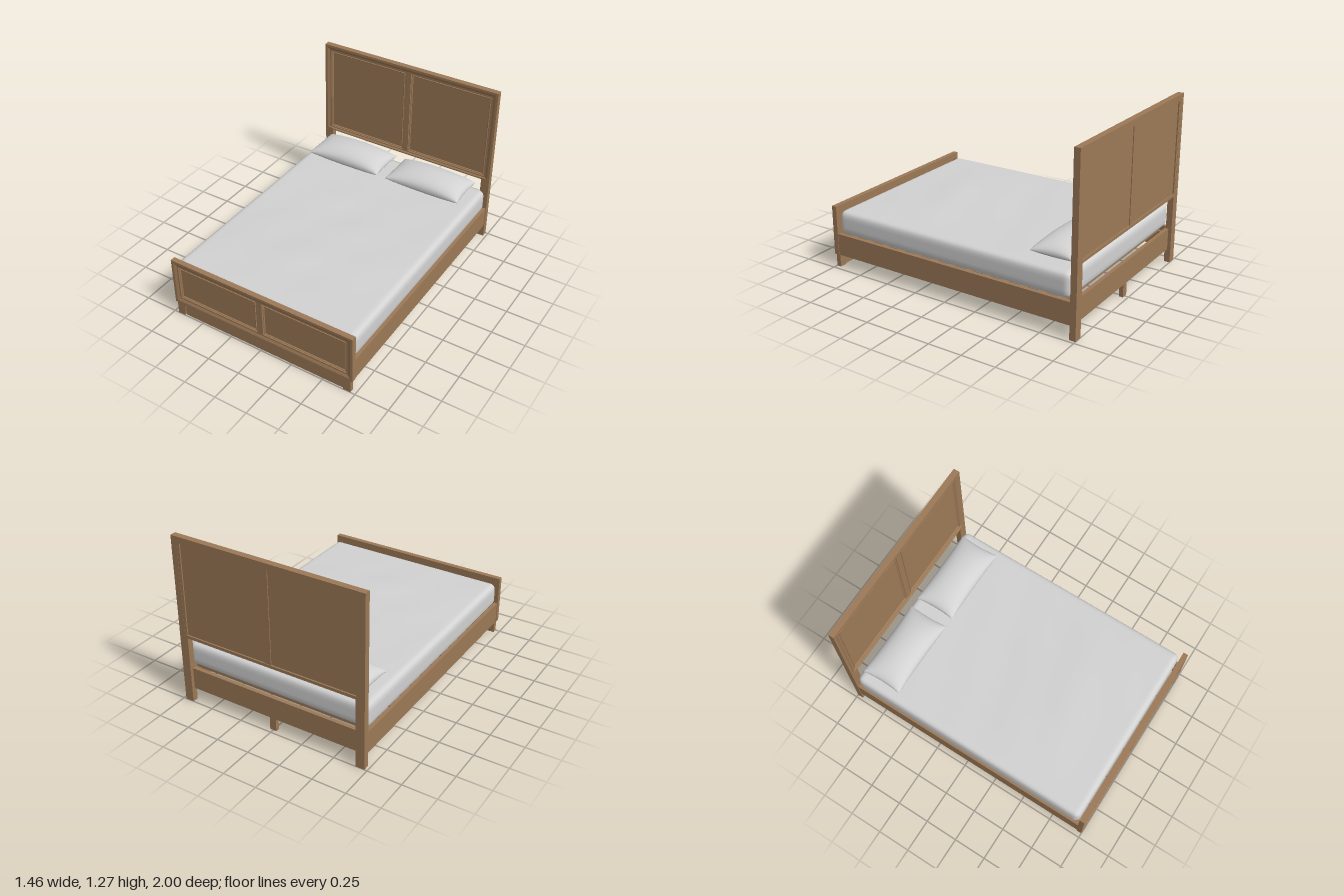
import * as THREE from 'three';
import { mergeVertices } from 'three/addons/utils/BufferGeometryUtils.js';

const wood = new THREE.MeshStandardMaterial({ color: 0x9c7957 });
wood.name = 'wood';
const linen = new THREE.MeshStandardMaterial({ color: 0xd2d2d2 });
linen.name = 'linen';

function add(parent, name, geometry, material = wood) {
  const mesh = new THREE.Mesh(geometry, material);
  mesh.name = name;
  parent.add(mesh);
  return mesh;
}

// Box given by its extents
function block(parent, name, x0, x1, y0, y1, z0, z1) {
  const mesh = add(parent, name, new THREE.BoxGeometry(x1 - x0, y1 - y0, z1 - z0));
  mesh.position.set((x0 + x1) / 2, (y0 + y1) / 2, (z0 + z1) / 2);
  return mesh;
}

// Mitred frame: sweeps a profile of [inset, z] around a rectangle
function mitredFrame(x0, x1, y0, y1, profile, bottomScale = 1) {
  const loops = profile.map(([d, z]) => [
    [x0 + d, y0 + d * bottomScale, z], [x1 - d, y0 + d * bottomScale, z],
    [x1 - d, y1 - d, z], [x0 + d, y1 - d, z],
  ]);
  const points = [];
  for (let k = 0; k < loops.length - 1; k++) {
    for (let i = 0; i < 4; i++) {
      const j = (i + 1) % 4;
      const a = loops[k][i], b = loops[k][j], c = loops[k + 1][j], d = loops[k + 1][i];
      points.push(...a, ...b, ...c, ...a, ...c, ...d);
    }
  }
  const geometry = new THREE.BufferGeometry();
  geometry.setAttribute('position', new THREE.Float32BufferAttribute(points, 3));
  geometry.computeVertexNormals();
  return geometry;
}

// Framed board with two recessed, moulded panels
function panelBoard(name, y0, y1, zBack, zFront, bottomScale) {
  const board = new THREE.Group();
  board.name = name;
  const face = zFront - 0.009, panel = zFront - 0.017, margin = 0.045;
  const bottom = y0 + margin * bottomScale, top = y1 - margin;
  add(board, 'outerFrame', mitredFrame(-0.73, 0.73, y0, y1, [
    [0, zBack], [0, zFront], [0.018, zFront], [0.026, zFront - 0.003],
    [0.038, face], [margin, face], [margin, zBack], [0, zBack],
  ], bottomScale));
  block(board, 'panelSheet', -0.69, 0.69, bottom - 0.003, top + 0.003, zBack + 0.01, panel);
  block(board, 'centreStile', -0.018, 0.018, bottom, top, panel - 0.004, face);
  block(board, 'rearCentreStile', -0.025, 0.025, bottom, top, zBack + 0.004, zBack + 0.012);
  for (const side of [-1, 1]) {
    const a = side > 0 ? 0.018 : -0.685, b = side > 0 ? 0.685 : -0.018;
    add(board, 'panelMoulding', mitredFrame(a, b, bottom, top, [
      [0, face], [0.005, face], [0.008, panel + 0.001], [0.012, panel + 0.001],
      [0.014, face - 0.001], [0.018, face - 0.002], [0.022, panel],
    ]));
  }
  return board;
}

// Mattress: box with rounded edges and a softly rumpled top
function mattressGeometry() {
  const hx = 0.718, hy = 0.09, hz = 0.946, r = 0.045;
  const geometry = new THREE.BoxGeometry(2, 2, 2, 48, 10, 64);
  geometry.deleteAttribute('normal');
  geometry.deleteAttribute('uv');
  const p = geometry.attributes.position, v = new THREE.Vector3(), core = new THREE.Vector3();
  const limit = new THREE.Vector3(hx - r, hy - r, hz - r);
  const spread = (t) => Math.sin(t * Math.PI / 2);
  for (let i = 0; i < p.count; i++) {
    v.fromBufferAttribute(p, i);
    v.set(spread(v.x) * hx, spread(v.y) * hy, spread(v.z) * hz);
    core.copy(v).clamp(limit.clone().negate(), limit);
    v.sub(core);
    if (v.lengthSq() > 0) v.setLength(r);
    v.add(core);
    if (v.y > hy - r) {
      const fade = (1 - (v.x / hx) ** 2) * (1 - (v.z / hz) ** 4) * (v.y - hy + r) / r;
      const swell = 0.012 * Math.exp(-(((v.z - 0.45) / 0.35) ** 2));
      const folds = 0.003 * Math.sin(9 * v.x + 11 * v.z) * Math.sin(4 * v.x - 5 * v.z + 1);
      v.y += Math.max(0, fade) * (swell + folds);
    }
    p.setXYZ(i, v.x, v.y, v.z);
  }
  const merged = mergeVertices(geometry, 1e-5);
  merged.computeVertexNormals();
  return merged;
}

// Pillow: plump middle, thin seam and slightly drawn-out corners
function pillowGeometry() {
  const geometry = new THREE.BoxGeometry(2, 2, 2, 32, 1, 24);
  geometry.deleteAttribute('normal');
  geometry.deleteAttribute('uv');
  const p = geometry.attributes.position;
  for (let i = 0; i < p.count; i++) {
    const u = Math.sin(p.getX(i) * Math.PI / 2), w = Math.sin(p.getZ(i) * Math.PI / 2);
    const plump = Math.pow(Math.max(0, (1 - u * u) * (1 - w * w)), 0.43);
    p.setXYZ(i,
      0.305 * u * (1 - 0.035 * (1 - w * w)),
      plump * (p.getY(i) > 0 ? 0.088 : -0.056),
      0.155 * w * (1 - 0.03 * (1 - u * u)));
  }
  const merged = mergeVertices(geometry, 1e-5);
  merged.computeVertexNormals();
  return merged;
}

export function createModel() {
  const bed = new THREE.Group();
  bed.name = 'bed';

  // Headboard and footboard
  bed.add(panelBoard('headboard', 0.515, 1.27, -1, -0.955, 0.5));
  bed.add(panelBoard('footboard', 0.1, 0.472, 0.962, 1, 1));

  // Legs and side rails, mirrored
  for (const s of [-1, 1]) {
    const mirrored = (name, a, b, ...rest) =>
      block(bed, name, Math.min(s * a, s * b), Math.max(s * a, s * b), ...rest);
    mirrored('headboardLeg', 0.665, 0.73, 0, 0.53, -1, -0.955);
    mirrored('rearStile', 0.665, 0.7, 0.51, 1.24, -0.999, -0.975);
    mirrored('sideRail', 0.7, 0.726, 0.1, 0.262, -0.957, 0.965);
    mirrored('slatLedger', 0.68, 0.702, 0.2, 0.22, -0.94, 0.955);

    const taper = new THREE.Shape([[0.66, 0], [0.715, 0], [0.715, 0.1], [0.643, 0.1]]
      .map(([x, y]) => new THREE.Vector2(s * x, y)));
    const foot = new THREE.ExtrudeGeometry(taper, { depth: 0.035, bevelEnabled: false });
    add(bed, 'footboardLeg', foot).position.z = 0.964;
  }

  // Cross rails and centre support
  block(bed, 'footApron', -0.65, 0.65, 0.002, 0.102, 0.972, 0.99);
  block(bed, 'headRail', -0.7, 0.7, 0.1, 0.262, -0.975, -0.948);
  block(bed, 'centreLeg', -0.025, 0.025, 0, 0.2, -0.97, -0.94);

  // Slats
  for (let i = 0; i < 13; i++) {
    const z = -0.86 + i * 0.1435;
    block(bed, 'slat', -0.7, 0.7, 0.22, 0.242, z - 0.03, z + 0.03);
  }

  // Bedding
  add(bed, 'mattress', mattressGeometry(), linen).position.set(0, 0.352, 0.003);
  for (const x of [-0.348, 0.334]) {
    add(bed, 'pillow', pillowGeometry(), linen).position.set(x, 0.495, -0.759);
  }
  return bed;
}
